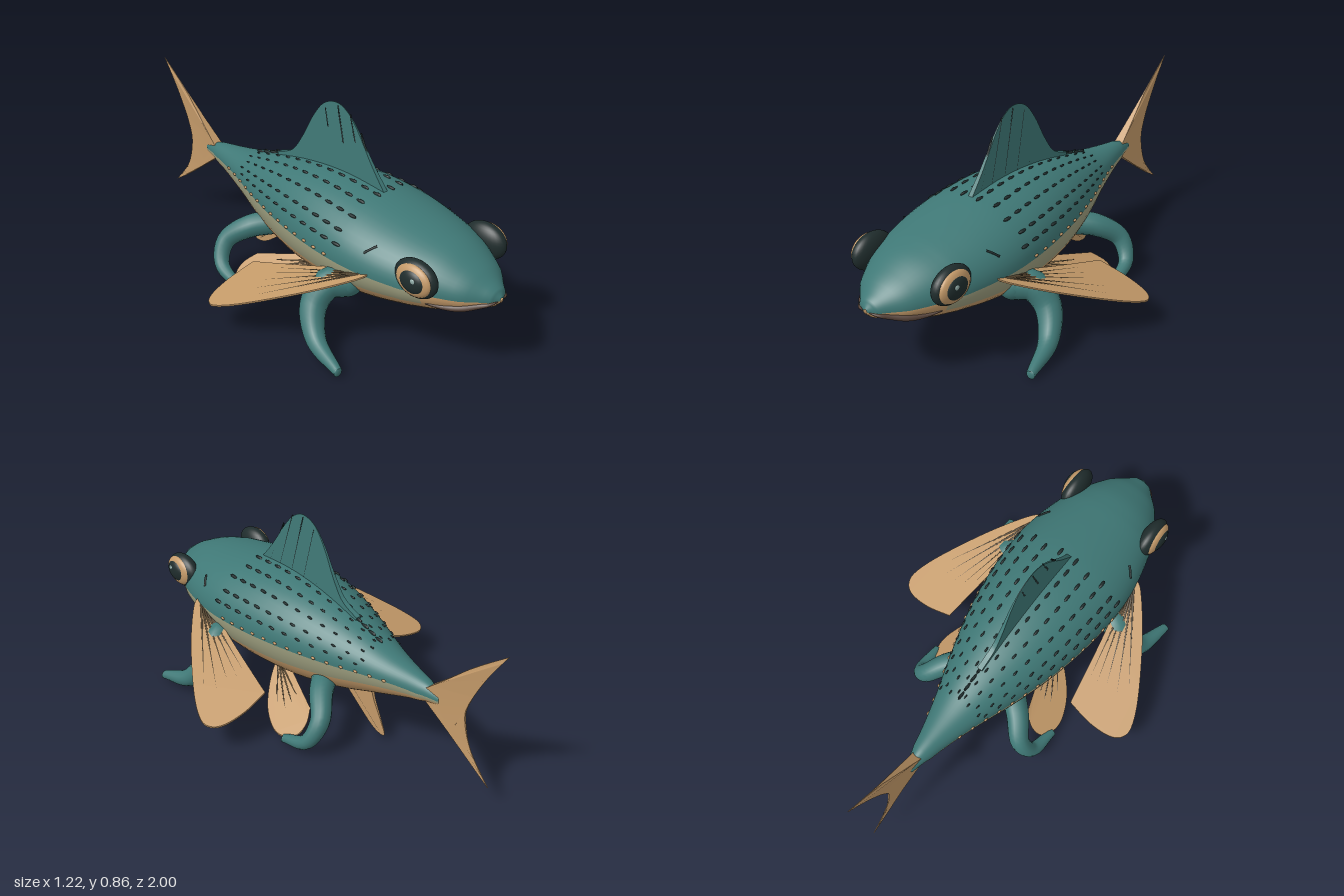
import * as THREE from 'three';
import { mergeGeometries, toCreasedNormals } from 'three/addons/utils/BufferGeometryUtils.js';

const V = (x, y, z) => new THREE.Vector3(x, y, z);
const mat = (name, color) => {
  const m = new THREE.MeshStandardMaterial({ color, side: THREE.DoubleSide });
  m.name = name;
  return m;
};

// Body stations: z, top, bottom, half width, height of the widest line
const STATIONS = [
  [1, .345, .325, .008, .335], [.98, .375, .305, .05, .335], [.9, .43, .265, .13, .34],
  [.8, .48, .23, .19, .345], [.7, .51, .205, .235, .35], [.55, .54, .17, .27, .355],
  [.4, .565, .145, .283, .36], [.2, .578, .137, .268, .365], [0, .562, .15, .23, .37],
  [-.2, .52, .195, .17, .372], [-.4, .465, .265, .1, .38], [-.6, .435, .335, .045, .385],
  [-.69, .41, .36, .02, .385], [-.7, .39, .38, .003, .385],
];
const heights = new THREE.CatmullRomCurve3(STATIONS.map(s => V(s[1], s[2], 0)), false, 'catmullrom', .5);
const widths = new THREE.CatmullRomCurve3(STATIONS.map(s => V(s[3], s[4], 0)), false, 'catmullrom', .5);

// Point on the skin at z; angle 0 is the left flank, 90 the back
function skin(z, deg, lift = 0) {
  let i = 0;
  while (i < STATIONS.length - 2 && z < STATIONS[i + 1][0]) i++;
  const t = (i + (STATIONS[i][0] - z) / (STATIONS[i][0] - STATIONS[i + 1][0])) / (STATIONS.length - 1);
  const h = heights.getPoint(t), w = widths.getPoint(t);
  const a = deg * Math.PI / 180, s = Math.sin(a);
  const y = w.y + s * ((s > 0 ? h.x - w.y : w.y - h.y) + lift);
  return V(Math.cos(a) * (w.x + lift), y, z);
}

// Lofted body with one material group per colour zone
function bodyGeometry() {
  const N = 48, zs = [], pos = [], zones = [[], [], []];
  STATIONS.slice(0, -1).forEach(([z], i) => {
    for (let k = 0; k < 4; k++) zs.push(z + (STATIONS[i + 1][0] - z) * k / 4);
  });
  zs.push(-.7);
  zs.forEach(z => { for (let j = 0; j < N; j++) pos.push(...skin(z, j * 360 / N).toArray()); });
  for (let i = 0; i < zs.length - 1; i++) for (let j = 0; j < N; j++) {
    const k = (j + 1) % N, a = i * N + j, b = i * N + k, c = a + N, d = b + N;
    const band = (j >= 24 && j < 27) || j >= 45;
    zones[j < 24 ? 0 : band && zs[i] < .78 ? 1 : 2].push(a, b, c, b, d, c);
  }
  const g = new THREE.BufferGeometry();
  g.setAttribute('position', new THREE.Float32BufferAttribute(pos, 3));
  let start = 0;
  zones.forEach((z, i) => { g.addGroup(start, z.length, i); start += z.length; });
  g.setIndex(zones.flat());
  g.computeVertexNormals();
  // keep every face turned outward
  const n = g.attributes.normal;
  if (n.getY(24 * N + 12) < 0) {
    g.setIndex(g.index.array.length ? Array.from(g.index.array).map((v, i, a) => i % 3 === 1 ? a[i + 1] : i % 3 === 2 ? a[i - 1] : v) : []);
    g.computeVertexNormals();
  }
  return g;
}

// Tube whose radius follows a rule along its path
function taperTube(points, radius, rings = 24, sides = 14) {
  const curve = new THREE.CatmullRomCurve3(points);
  const g = new THREE.TubeGeometry(curve, rings, 1, sides);
  const p = g.attributes.position, v = V();
  for (let i = 0; i < p.count; i++) {
    const t = Math.floor(i / (sides + 1)) / rings, c = curve.getPointAt(t);
    v.fromBufferAttribute(p, i).sub(c).multiplyScalar(radius(t)).add(c);
    p.setXYZ(i, v.x, v.y, v.z);
  }
  return g;
}

// Thin fin: a flat outline, given thickness and mapped into place
function finGeometry(shape, map) {
  const g = new THREE.ExtrudeGeometry(shape, { depth: 1, bevelEnabled: false, curveSegments: 10 });
  const p = g.attributes.position;
  for (let i = 0; i < p.count; i++) p.setXYZ(i, ...map(p.getX(i), p.getY(i), p.getZ(i) - .5));
  g.deleteAttribute('uv');
  return toCreasedNormals(g, .6);
}
// Fin rays: thin tapering lines from root to edge
const rayGeometry = (list, map, r) => mergeGeometries(list.map(([a, b, c, d]) =>
  taperTube([V(...map(a, b, 0)), V(...map((a + c) / 2, (b + d) / 2, 0)), V(...map(c, d, 0))],
    t => r * (1 - .7 * t), 6, 5)));
const splineShape = (start, ...runs) => {
  const s = new THREE.Shape().moveTo(...start);
  runs.forEach(r => r.length > 1 ? s.splineThru(r.map(q => new THREE.Vector2(...q))) : s.lineTo(...r[0]));
  return s;
};

export function createModel() {
  const teal = mat('teal skin', 0x3f7876), olive = mat('olive flank', 0x9a9b7c);
  const tan = mat('tan belly and fins', 0xc49a69), dark = mat('dark scales and eyes', 0x1f2c2c);
  const brown = mat('brown mouth', 0x58443a), ray = mat('fin rays', 0x554630);
  const glint = mat('eye glint', 0x8fa9a5);
  const model = new THREE.Group();
  const add = (parent, name, geo, material) => {
    const m = new THREE.Mesh(geo, material);
    m.name = name;
    parent.add(m);
    return m;
  };
  const ball = (parent, name, material, c, r) => {
    const m = add(parent, name, new THREE.SphereGeometry(1, 28, 20), material);
    m.position.set(...c);
    m.scale.set(...r);
    return m;
  };

  add(model, 'body', bodyGeometry(), [teal, olive, tan]);

  // Dorsal fin
  const dorsalMap = (z, y, s) => [s * .022 * Math.max(.1, (.88 - y) / .33), y, z];
  add(model, 'dorsalFin', finGeometry(splineShape([.42, .55],
    [[.34, .65], [.25, .78], [.19, .84], [.13, .86], [.06, .835], [0, .76], [-.06, .65], [-.12, .57], [-.21, .53]],
    [[-.2, .49]], [[.42, .53]]), dorsalMap), teal);
  const dorsalRays = [[.36, .56, .27, .77], [.29, .57, .21, .83], [.21, .57, .14, .85], [.13, .57, .07, .82],
    [.05, .56, .01, .75], [-.03, .55, -.05, .65]];
  add(model, 'dorsalRays', rayGeometry(dorsalRays, dorsalMap, .011), dark);

  // Tail fin
  const tailMap = (z, y, s) => [s * .045 * Math.max(.06, (z + .86) / .24), y, z];
  add(model, 'tailFin', finGeometry(splineShape([-.62, .41],
    [[-.72, .5], [-.85, .62], [-1, .74]], [[-.91, .6], [-.84, .46], [-.82, .37], [-.86, .24], [-.96, .12]],
    [[-.85, .19], [-.73, .28], [-.62, .36]]), tailMap), tan);
  add(model, 'tailRays', rayGeometry([[-.66, .41, -.95, .68], [-.66, .4, -.89, .58], [-.66, .395, -.84, .48],
    [-.66, .385, -.82, .39], [-.66, .38, -.84, .29], [-.66, .37, -.88, .21], [-.66, .365, -.92, .16]], tailMap, .008), ray);

  // Anal fin under the belly
  const analMap = (z, y, s) => [s * .012 * Math.max(.1, y / .2), y, z];
  add(model, 'analFin', finGeometry(splineShape([-.1, .2],
    [[-.2, .12], [-.3, .045], [-.36, .025], [-.385, .04], [-.36, .1], [-.32, .18], [-.3, .25]]), analMap), tan);
  add(model, 'analRays', rayGeometry([[-.18, .18, -.35, .04], [-.23, .2, -.37, .06], [-.27, .22, -.35, .11]], analMap, .006), ray);

  // Scale flakes in rows along the back, plus a dense spine row
  const flake = (z, deg, len, wide, tall) => {
    const g = new THREE.SphereGeometry(1, 6, 5).scale(tall, wide, len);
    g.rotateZ(deg * Math.PI / 180);
    const p = skin(z, deg, .001);
    return g.translate(p.x, p.y, p.z);
  };
  const flakes = [], pearls = [];
  [82, 67, 51, 34, 20].forEach((deg, row) => {
    for (let k = 0; k < 12; k++) {
      const z = .4 - k * .066 - (row % 2) * .02, s = 1 - k * .045;
      [deg, 180 - deg].forEach(d => flakes.push(flake(z, d, .023 * s, .007 * s, .007 * s)));
    }
  });
  for (let k = 0; k < 18; k++) flakes.push(flake(.38 - k * .042, 90, .024, .006, .009));
  for (let k = 0; k < 14; k++) [3, 177].forEach(d => pearls.push(flake(.35 - k * .062, d, .011, .006, .006)));
  add(model, 'scaleFlakes', mergeGeometries(flakes), dark);
  add(model, 'lateralLine', mergeGeometries(pearls), tan);

  // Paired parts, built on the left and mirrored
  for (const [side, sx] of [['left', 1], ['right', -1]]) {
    const half = new THREE.Group();
    half.name = side + 'Side';
    half.scale.x = sx;
    model.add(half);

    // Eye
    ball(half, 'eyeRim', dark, [.203, .41, .757], [.046, .077, .1]);
    ball(half, 'iris', tan, [.223, .412, .762], [.031, .066, .083]);
    ball(half, 'pupil', dark, [.235, .414, .766], [.026, .049, .06]);
    ball(half, 'eyeGlint', glint, [.255, .428, .782], [.006, .011, .012]);

    // Mouth and gill slit
    const lip = [[.79, -20], [.84, -25], [.9, -27], [.95, -24], [.98, -16], [.996, -8]];
    add(half, 'mouth', taperTube(lip.map(([z, d]) => skin(z, d, .001)),
      t => .002 + .012 * Math.sin(Math.PI * Math.min(1, t)), 24, 8), brown);
    add(half, 'gillSlit', taperTube([skin(.565, 38, .001), skin(.55, 33, .002), skin(.53, 26, .001)], () => .005, 8, 6), dark);

    // Legs
    const legs = {
      frontLeg: [[V(.23, .265, .43), V(.295, .255, .385), V(.355, .18, .37), V(.41, .075, .44), V(.445, .022, .595)], .066],
      backLeg: [[V(.11, .255, -.13), V(.19, .235, -.2), V(.26, .165, -.275), V(.31, .075, -.25), V(.325, .025, -.125)], .053],
    };
    for (const [name, [path, r]] of Object.entries(legs)) {
      add(half, name, taperTube(path, t => r + (.019 - r) * t ** 1.5), teal);
      ball(half, name + 'Tip', teal, path[4].toArray(), [.02, .02, .009]);
      ball(half, name + 'Root', teal, path[0].toArray(), [r, r, r]);
    }

    // Pectoral fin
    const pecMap = (x, z, s) => [x, .292 - .27 * x + .252 * z + s * .007, z];
    add(half, 'pectoralFin', finGeometry(splineShape([.25, .57],
      [[.3, .545], [.42, .4], [.55, .2], [.605, .08], [.6, .02], [.55, -.015], [.45, -.025], [.335, -.01]],
      [[.3, .2], [.27, .36], [.24, .5]]), pecMap), tan);
    add(half, 'pectoralRays', rayGeometry([[.27, .53, .58, .08], [.27, .52, .54, .02], [.27, .51, .47, .01],
      [.27, .5, .41, .01], [.27, .48, .36, .02]], pecMap, .007), ray);

    // Pelvic fin
    const pelMap = (x, z, s) => [x, .175 - .74 * (x - .14) + .02 * z + s * .007, z];
    add(half, 'pelvicFin', finGeometry(splineShape([.12, .18],
      [[.2, .13], [.28, .05], [.325, -.04], [.33, -.11], [.3, -.17], [.25, -.175], [.2, -.14]],
      [[.16, -.02], [.12, .1]]), pelMap), tan);
    add(half, 'pelvicRays', rayGeometry([[.14, .15, .31, -.05], [.14, .14, .31, -.13], [.14, .13, .27, -.15],
      [.14, .12, .22, -.13]], pelMap, .006), ray);
  }
  return model;
}
